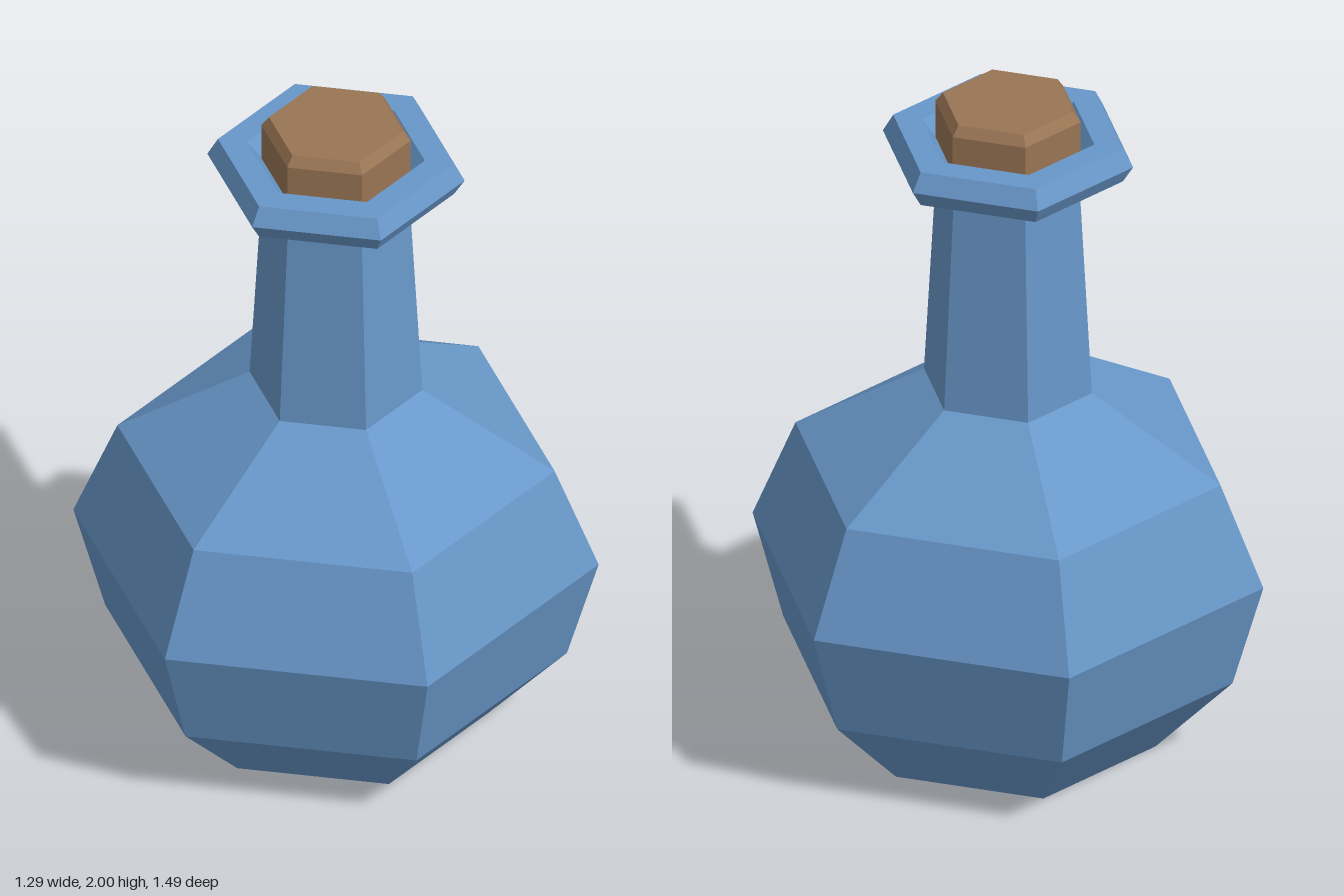
import * as THREE from 'three';

const SIDES = 6;

// Six-sided turned part from a [radius, y] profile, with corners on the z axis
function turned(name, profile, material) {
  const points = profile.map(([r, y]) => new THREE.Vector2(r, y));
  const geometry = new THREE.LatheGeometry(points, SIDES).toNonIndexed();
  geometry.computeVertexNormals(); // faceted
  const mesh = new THREE.Mesh(geometry, material);
  mesh.name = name;
  return mesh;
}

export function createModel() {
  const glass = new THREE.MeshStandardMaterial({ color: 0x6897c9, flatShading: true });
  glass.name = 'blue glass';
  const corkBrown = new THREE.MeshStandardMaterial({ color: 0x997554, flatShading: true });
  corkBrown.name = 'cork brown';

  const group = new THREE.Group();
  group.name = 'corkedFlask';

  // Round belly with closed base and sloping shoulder
  group.add(turned('belly', [
    [0, 0], [0.43, 0], [0.655, 0.24], [0.745, 0.56], [0.62, 0.87], [0.245, 1.105],
  ], glass));

  // Tapered neck
  group.add(turned('neck', [[0.245, 1.105], [0.21, 1.74]], glass));

  // Flared lip, with a sloping mouth inside
  group.add(turned('lip', [
    [0.21, 1.74], [0.335, 1.8], [0.365, 1.85], [0.335, 1.905], [0.252, 1.905], [0.2, 1.84],
  ], glass));

  // Stopper with a bevelled top
  group.add(turned('cork', [
    [0, 1.78], [0.195, 1.78], [0.212, 1.84], [0.212, 1.97], [0.19, 2], [0, 2],
  ], corkBrown));

  return group;
}
